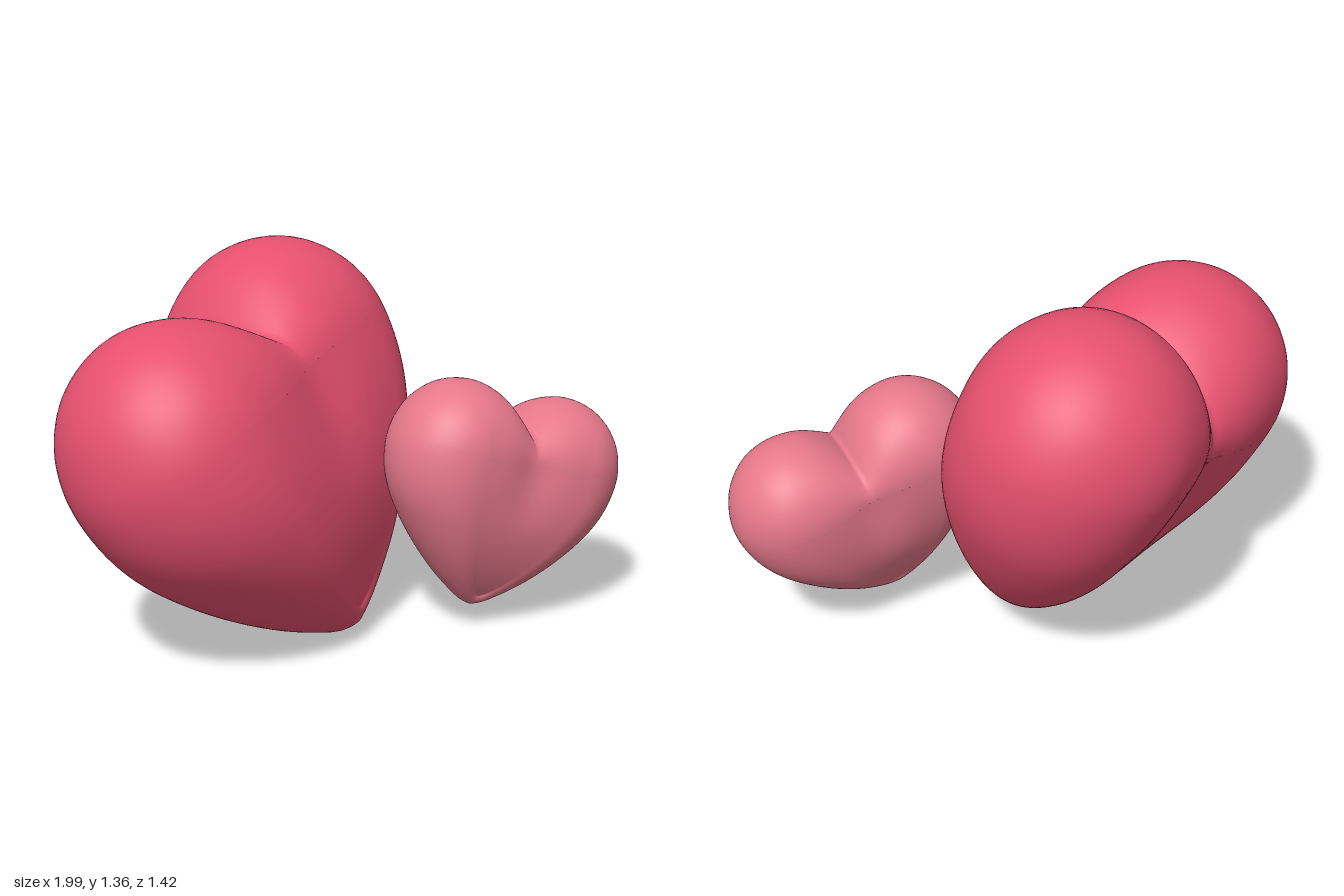
import * as THREE from 'three';
import { mergeVertices } from 'three/addons/utils/BufferGeometryUtils.js';

// Right half of the heart outline, from the cleft round to the tip
const HALF = [
  [0, 0.11], [0.05, 0.165], [0.12, 0.214], [0.22, 0.236], [0.33, 0.208], [0.42, 0.125],
  [0.463, 0.01], [0.455, -0.1], [0.415, -0.2], [0.345, -0.295], [0.26, -0.385],
  [0.168, -0.465], [0.08, -0.526], [0.036, -0.55], [0, -0.56],
];
const LOBE = 0.2315; // radius of a lobe and its distance from the middle line

// Half thickness: full at the lobes, thin at the tip, with a shallow valley below the cleft
function thickness(x, y) {
  const taper = Math.max(0, 1 - (-y / 0.56) ** 2.2) ** 0.85;
  const valley = 0.12 * Math.exp(-((x / 0.1) ** 2)) * THREE.MathUtils.smoothstep(y, -0.3, 0);
  return LOBE * taper * (1 - valley);
}

// Puffy heart: a filled core on the front and back, joined by a rounded rim
function heartGeometry(steps = 64, fill = 10, rim = 40) {
  const half = new THREE.SplineCurve(HALF.map(([x, y]) => new THREE.Vector2(x, y))).getSpacedPoints(steps);
  const mirrored = half.slice(1, -1).reverse().map((p) => new THREE.Vector2(-p.x, p.y));
  const outline = [...half, ...mirrored];
  const n = outline.length;
  const core = outline.map(({ x, y }) => (y >= 0
    ? new THREE.Vector2(THREE.MathUtils.clamp(x, -LOBE, LOBE), 0)
    : new THREE.Vector2(x / 2, y * 0.93)));

  // each row: spread of the core (0 to 1) and angle round the rim (0 front, PI back)
  const rows = [];
  for (let i = 0; i < fill; i++) rows.push([i / fill, 0]);
  for (let i = 0; i <= rim; i++) rows.push([1, (i / rim) * Math.PI]);
  for (let i = fill - 1; i >= 0; i--) rows.push([i / fill, Math.PI]);

  const positions = [];
  const index = [];
  rows.forEach(([t, angle], i) => {
    const out = i < fill + rim ? Math.sin(angle) : 0;
    for (let j = 0; j < n; j++) {
      const p = outline[j], q = core[j], k = (j + 1) % n;
      positions.push(
        q.x * t + (p.x - q.x) * out,
        q.y + (p.y - q.y) * out,
        thickness(q.x * t, q.y) * Math.cos(angle),
      );
      if (i === rows.length - 1) continue;
      const a = i * n + j, b = a + n, c = (i + 1) * n + k, d = i * n + k;
      index.push(a, c, b, a, d, c);
    }
  });
  const geometry = new THREE.BufferGeometry();
  geometry.setAttribute('position', new THREE.Float32BufferAttribute(positions, 3));
  geometry.setIndex(index);
  const merged = mergeVertices(geometry, 1e-5);
  merged.computeVertexNormals();
  return merged;
}

// Places a heart by its middle, its sideways direction and its up direction
function addHeart(group, geometry, name, color, scale, middle, across, up) {
  const v = new THREE.Vector3(...up).normalize();
  const w = new THREE.Vector3(...across).cross(v).normalize();
  const u = new THREE.Vector3().crossVectors(v, w);
  const mesh = new THREE.Mesh(geometry, new THREE.MeshStandardMaterial({ color }));
  mesh.name = name;
  mesh.quaternion.setFromRotationMatrix(new THREE.Matrix4().makeBasis(u, v, w));
  mesh.position.set(...middle);
  mesh.scale.setScalar(scale);
  group.add(mesh);
}

export function createModel() {
  const group = new THREE.Group();
  group.name = 'hearts';
  const geometry = heartGeometry();
  addHeart(group, geometry, 'largeHeart', 0xe6506f, 1.73,
    [-0.232, 0.867, -0.165], [0.916, 0.192, -0.353], [-0.31, 0.895, -0.315]);
  addHeart(group, geometry, 'smallHeart', 0xe6788b, 1,
    [0.553, 0.612, 0.4225], [0.925, -0.29, 0.245], [0.295, 0.952, 0.012]);
  return group;
}
